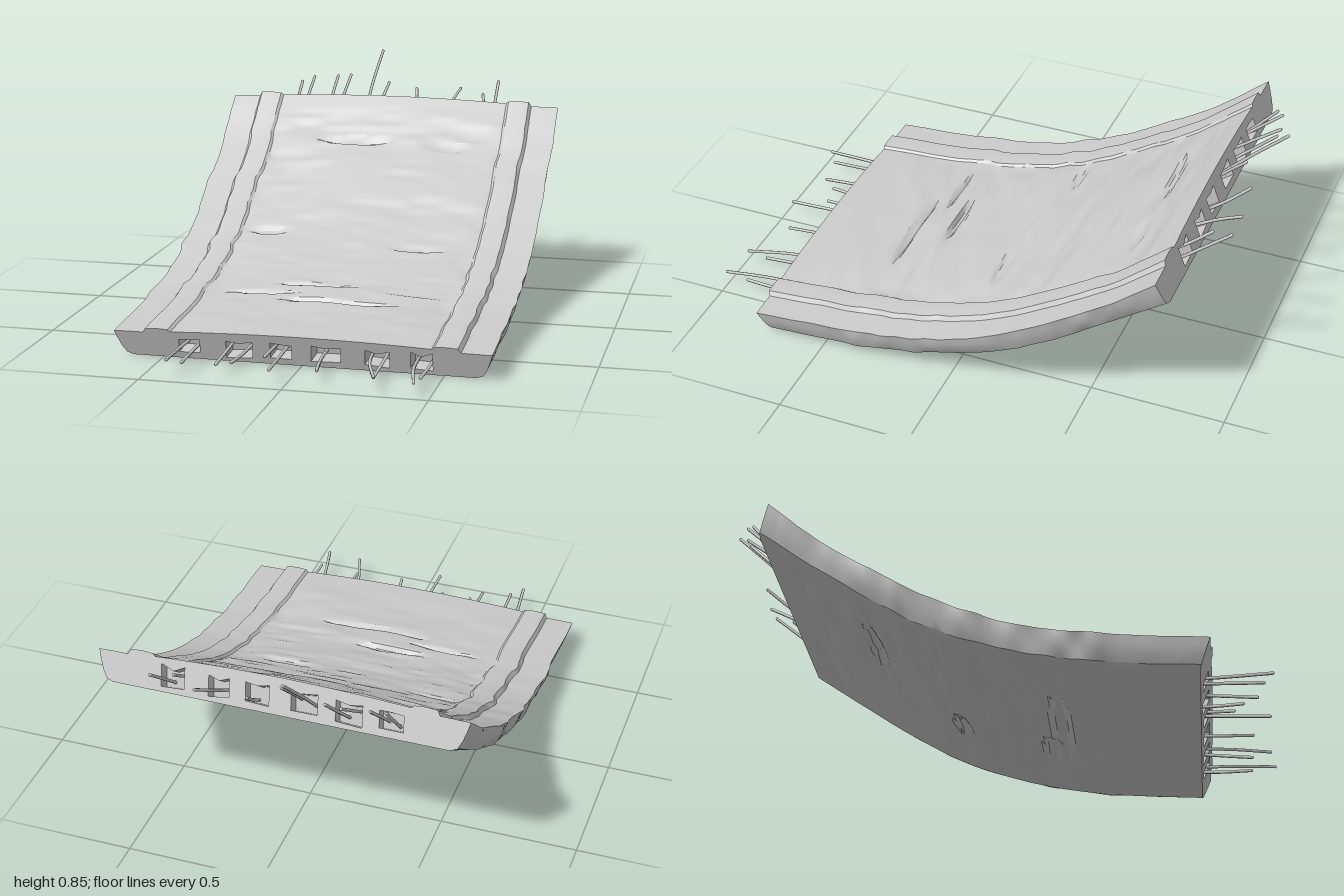
import * as THREE from 'three';
import { toCreasedNormals } from 'three/addons/utils/BufferGeometryUtils.js';

const concrete = new THREE.MeshStandardMaterial({ color: 0xcccccc, side: THREE.DoubleSide });
const steel = new THREE.MeshStandardMaterial({ color: 0xcccccc });

// Top and bottom lines of the bent slab as [z, y], front to back
const line = pts => new THREE.CatmullRomCurve3(pts.map(([z, y]) => new THREE.Vector3(0, y, z)));
const topLine = line([[0.765, 0.127], [0.4, 0.158], [0.2, 0.186], [0, 0.238], [-0.2, 0.325],
  [-0.4, 0.44], [-0.6, 0.573], [-0.765, 0.712]]);
const bottomLine = line([[0.72, 0.013], [0.4, 0.036], [0.2, 0.065], [0, 0.115], [-0.2, 0.19],
  [-0.4, 0.302], [-0.6, 0.437], [-0.81, 0.585]]);

// Straight slab space to bent space: x, h = height 0..1, w = 1 (front) .. -1 (back)
function bend(x, h, w) {
  const t = (1 - w) / 2;
  const p = bottomLine.getPoint(t).lerp(topLine.getPoint(t), h);
  p.x = x;
  return p;
}
function bendGeometry(geo) {
  const p = geo.attributes.position;
  for (let i = 0; i < p.count; i++) {
    const v = bend(p.getX(i), p.getY(i), p.getZ(i));
    p.setXYZ(i, v.x, v.y, v.z);
  }
  return toCreasedNormals(geo, 0.5);
}

// Seeded smooth noise, -1..1
function hash(i, j) {
  const s = Math.sin(i * 127.1 + j * 311.7) * 43758.5453;
  return (s - Math.floor(s)) * 2 - 1;
}
function noise(x, y) {
  const i = Math.floor(x), j = Math.floor(y);
  const u = THREE.MathUtils.smoothstep(x - i, 0, 1), v = THREE.MathUtils.smoothstep(y - j, 0, 1);
  const { lerp } = THREE.MathUtils;
  return lerp(lerp(hash(i, j), hash(i + 1, j), u), lerp(hash(i, j + 1), hash(i + 1, j + 1), u), v);
}

// Cross-section outline, counter-clockwise from the lower left, with a kerb strip on each side
function makeSection() {
  const pts = [];
  for (let i = 0; i <= 24; i++) pts.push([-0.61 + 1.22 * i / 24, 0, 'bottom']);
  const edge = [[0.635, 0.08], [0.65, 0.3], [0.662, 0.58], [0.67, 0.82], [0.61, 0.83], [0.563, 0.83],
    [0.553, 0.97], [0.51, 0.99], [0.472, 0.97], [0.462, 0.9]];
  edge.forEach(([x, h]) => pts.push([x, h, 'side']));
  for (let i = 1; i < 32; i++) {
    const x = 0.46 - 0.92 * i / 32;
    pts.push([x, 0.9 + 0.1 * (1 - (x / 0.46) ** 2), 'top']);
  }
  edge.reverse().forEach(([x, h]) => pts.push([-x, h, 'side']));
  return pts;
}
const section = makeSection();

// Broken patches: x, w, half width, half length, depth
const topPits = [[-0.12, -0.7, 0.17, 0.03, 0.13], [0.25, -0.68, 0.1, 0.04, 0.1], [-0.06, 0.5, 0.16, 0.025, 0.13],
  [0.25, 0.06, 0.12, 0.04, 0.1], [0.05, 0.7, 0.25, 0.02, 0.13], [-0.25, 0.62, 0.15, 0.02, 0.12], [-0.35, -0.05, 0.1, 0.03, 0.1]];
const bottomPits = [[0, 0.45, 0.35, 0.06, 0.25], [0.25, 0.38, 0.15, 0.05, 0.2], [-0.2, -0.5, 0.2, 0.05, 0.18], [0.2, -0.1, 0.08, 0.05, 0.2]];
const pitDepth = (pits, x, w) => pits.reduce((d, [px, pw, rx, rw, depth]) => {
  const r = Math.hypot((x - px) / rx, (w - pw) / rw);
  return d + depth * Math.max(0, Math.min(1, 2 * (1 - r)));
}, 0);

// Worn surface, fading out towards the end blocks
function weather([x, h, zone], w) {
  const fade = THREE.MathUtils.clamp((END - Math.abs(w)) * 10, 0, 1);
  if (zone === 'side') {
    const chip = noise(w * 12 + Math.sign(x) * 7, h * 2) * (x < 0 ? 0.009 : 0.005);
    return [x + fade * chip, h + fade * 0.03 * noise(w * 9, x * 8 + 4)];
  }
  const rough = 0.06 * noise(x * 6 + 3, w * 9 + 5) + 0.035 * noise(x * 9, w * 24);
  if (zone === 'top') return [x, h + fade * (rough - pitDepth(topPits, x, w))];
  const inner = THREE.MathUtils.clamp((0.62 - Math.abs(x)) * 8, 0, 1);
  return [x, h + fade * inner * (0.04 + rough + pitDepth(bottomPits, x, w))];
}

const END = 0.93;
function slabGeometry() {
  const rows = 120, n = section.length, pos = [], index = [];
  for (let j = 0; j <= rows; j++) {
    const w = -END + 2 * END * j / rows;
    section.forEach(p => pos.push(...weather(p, w), w));
  }
  for (let j = 0; j < rows; j++) {
    for (let i = 0; i < n; i++) {
      const k = (i + 1) % n, a = j * n + i, b = j * n + k;
      index.push(a, b, b + n, a, b + n, a + n);
    }
  }
  const geo = new THREE.BufferGeometry();
  geo.setAttribute('position', new THREE.Float32BufferAttribute(pos, 3));
  geo.setIndex(index);
  return bendGeometry(geo);
}

const outline = () => new THREE.Shape(section.map(([x, h]) => new THREE.Vector2(x, h)));

// End block with ragged pockets where the bars come out
function endGeometry(pockets, w0) {
  const shape = outline();
  pockets.forEach(([x, width], i) => {
    const a = width / 2, r = k => 0.07 * hash(i, k);
    shape.holes.push(new THREE.Path([[-a, 0.17 + r(1)], [-a * 0.9, 0.7 + r(2)], [0, 0.66 + r(3)], [a, 0.72 + r(4)], [a * 0.9, 0.2 + r(5)]]
      .map(([dx, h]) => new THREE.Vector2(x + dx, h))));
  });
  const geo = new THREE.ExtrudeGeometry(shape, { depth: 1 - END, bevelEnabled: false, steps: 2 });
  return bendGeometry(geo.translate(0, 0, w0));
}

// Bars: root x, then tip x, y, z
const frontBars = [[-0.43, -0.41, 0.08, 0.97], [-0.37, -0.365, 0.065, 0.94], [-0.25, -0.25, 0.06, 0.92], [-0.2, -0.21, 0.055, 0.87],
  [-0.1, -0.1, 0.075, 0.84], [-0.05, -0.05, 0.07, 0.97], [0.07, 0.1, 0.06, 0.91], [0.24, 0.31, 0.075, 0.98],
  [0.3, 0.295, 0.05, 0.91], [0.4, 0.45, 0.07, 1], [0.46, 0.455, 0.06, 0.91]];
const backBars = [[-0.42, -0.41, 0.74, -0.88], [-0.38, -0.365, 0.757, -0.91], [-0.275, -0.27, 0.76, -0.93], [-0.24, -0.215, 0.765, -0.93],
  [-0.12, -0.095, 0.86, -1], [-0.065, -0.04, 0.75, -0.87], [0.09, 0.065, 0.72, -0.92], [0.2, 0.245, 0.725, -0.94],
  [0.37, 0.35, 0.715, -0.87], [0.4, 0.4, 0.757, -0.95]];
function barGeometry([x, tx, ty, tz], i) {
  const root = bend(x, 0.3 + 0.12 * (i % 3), Math.sign(tz) * 0.9);
  const tip = new THREE.Vector3(tx, ty, tz);
  const mid = root.clone().lerp(tip, 0.55);
  mid.x = x + 0.3 * (tx - x);
  mid.y += 0.006 * hash(i, 9);
  return new THREE.TubeGeometry(new THREE.CatmullRomCurve3([root, mid, tip]), 8, 0.006, 6);
}

export function createModel() {
  const model = new THREE.Group();
  const add = (name, geo, mat, parent = model) => {
    const mesh = new THREE.Mesh(geo, mat);
    mesh.name = name;
    parent.add(mesh);
  };
  add('roadSlab', slabGeometry(), concrete);

  const ends = [
    { name: 'front', w0: END, wall: END, bars: frontBars,
      pockets: [[-0.4, 0.08], [-0.22, 0.1], [-0.07, 0.08], [0.09, 0.11], [0.27, 0.09], [0.425, 0.08]] },
    { name: 'back', w0: -1, wall: -END, bars: backBars,
      pockets: [[-0.4, 0.09], [-0.25, 0.1], [-0.09, 0.1], [0.08, 0.09], [0.22, 0.08], [0.39, 0.09]] },
  ];
  for (const { name, w0, wall, bars, pockets } of ends) {
    add(name + 'BrokenEnd', endGeometry(pockets, w0), concrete);
    add(name + 'PocketWall', bendGeometry(new THREE.ShapeGeometry(outline()).translate(0, 0, wall)), concrete);
    const group = new THREE.Group();
    group.name = name + 'Bars';
    model.add(group);
    bars.forEach((b, i) => {
      add('reinforcingBar', barGeometry(b, i), steel, group);
      const cap = new THREE.SphereGeometry(0.006, 6, 4).translate(b[1], b[2], b[3]);
      add('barTip', cap, steel, group);
    });
  }
  return model;
}
